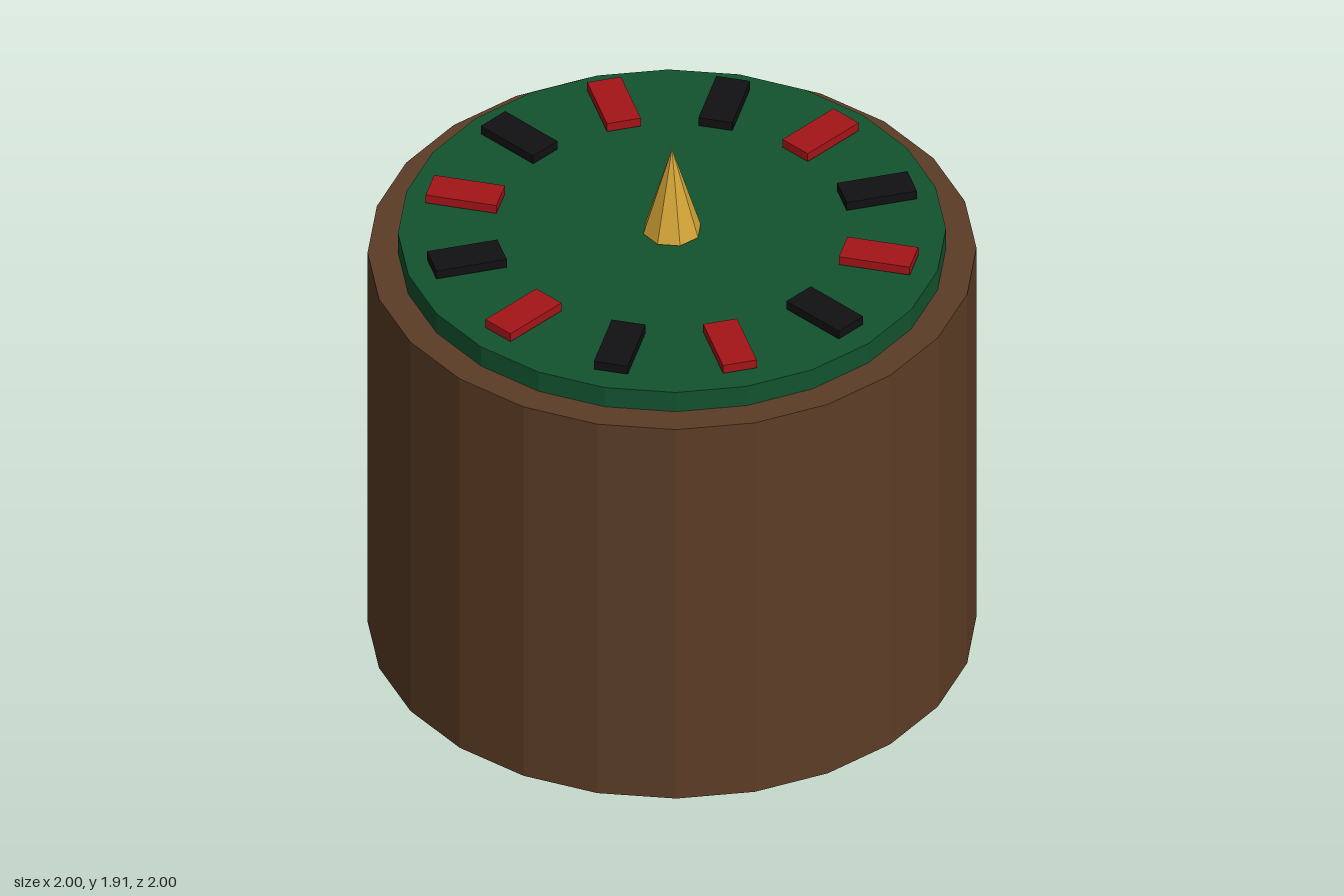
import * as THREE from 'three';

const material = (color) => new THREE.MeshStandardMaterial({ color, flatShading: true });

function addMesh(parent, name, geometry, mat, y) {
  const mesh = new THREE.Mesh(geometry, mat);
  mesh.name = name;
  mesh.position.y = y;
  parent.add(mesh);
  return mesh;
}

export function createModel() {
  const model = new THREE.Group();
  model.name = 'rouletteTable';

  // Wooden drum and the felt disc on top
  addMesh(model, 'woodenDrum', new THREE.CylinderGeometry(1, 1, 1.5, 24), material(0x5c3d26), 0.75);
  addMesh(model, 'feltTop', new THREE.CylinderGeometry(0.9, 0.9, 0.078, 24), material(0x12532f), 1.539);

  // Ring of alternating red and black markers
  const markers = new THREE.Group();
  markers.name = 'markers';
  model.add(markers);
  const markerGeometry = new THREE.BoxGeometry(0.115, 0.032, 0.24);
  const red = material(0xa51417);
  const black = material(0x111113);
  for (let i = 0; i < 12; i++) {
    const angle = (i * Math.PI) / 6;
    const isRed = i % 2 === 0;
    const marker = addMesh(markers, isRed ? 'redMarker' : 'blackMarker', markerGeometry, isRed ? red : black, 1.602);
    marker.position.x = Math.sin(angle) * 0.7;
    marker.position.z = Math.cos(angle) * 0.7;
    marker.rotation.y = angle;
  }

  // Central gold spike
  addMesh(model, 'centreSpike', new THREE.ConeGeometry(0.098, 0.326, 8), material(0xd4a537), 1.749);

  return model;
}
